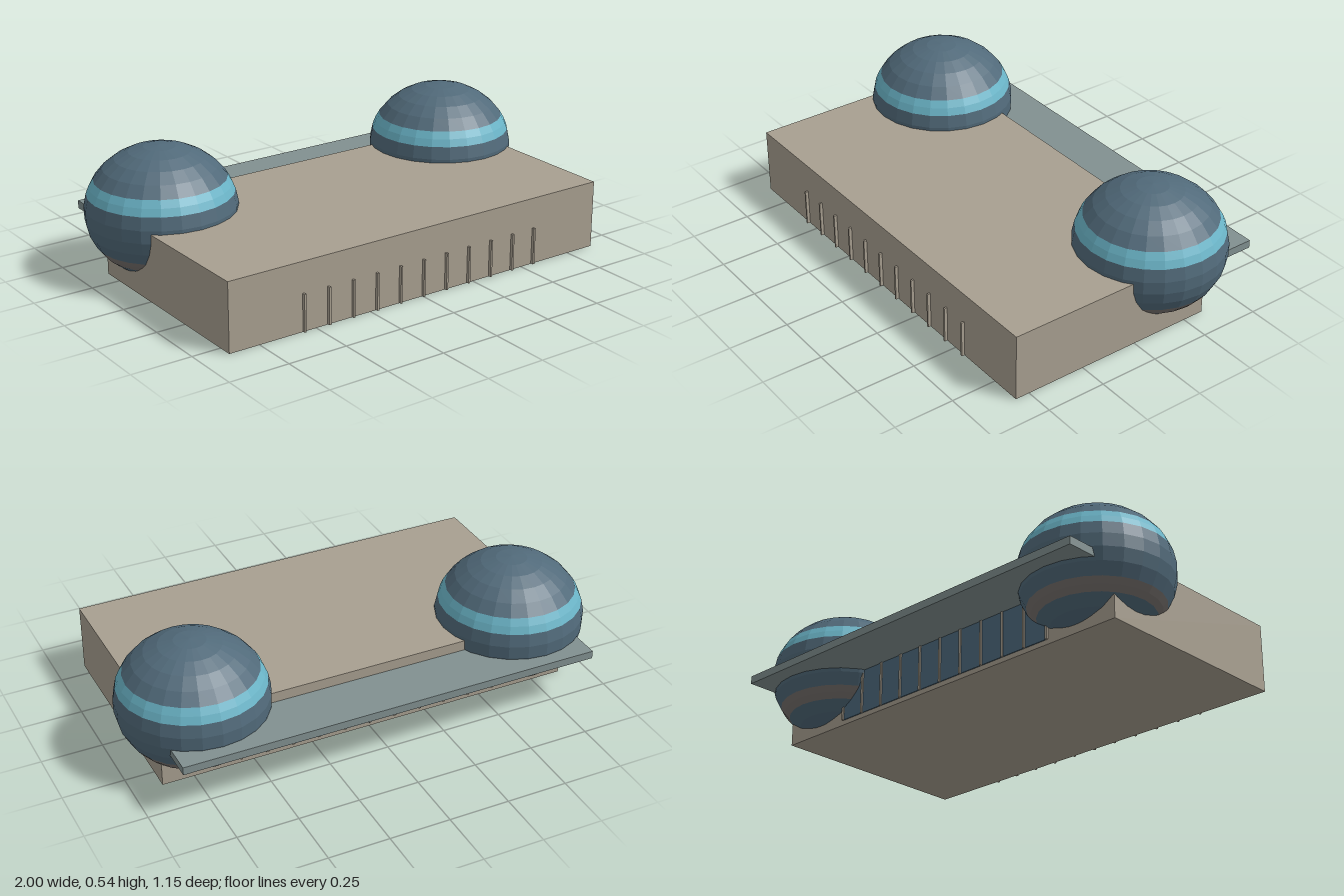
import * as THREE from 'three';

export function createModel() {
  const model = new THREE.Group();
  const paint = (name, color, flatShading = false) => {
    const m = new THREE.MeshStandardMaterial({ color, flatShading });
    m.name = name;
    return m;
  };
  const stone = paint('warm stone', 0xa89f90);
  const slate = paint('slate blue', 0x516a7a, true);
  const cyan = paint('cyan glazing', 0x6bb5c8, true);
  const belt = paint('grey belt', 0x77716e, true);
  const glass = paint('window blue', 0x4d6a7e);
  const canopyGrey = paint('canopy grey', 0x819090);

  // Box given by its minimum and maximum corners
  const box = (name, material, min, max) => {
    const size = max.map((v, i) => v - min[i]);
    const mesh = new THREE.Mesh(new THREE.BoxGeometry(...size), material);
    mesh.position.set(...max.map((v, i) => (v + min[i]) / 2));
    mesh.name = name;
    model.add(mesh);
  };

  // Main hall and rear canopy
  box('hall', stone, [-0.88, 0, -0.34], [0.88, 0.282, 0.56]);
  box('rearCanopy', canopyGrey, [-0.879, 0.206, -0.573], [0.879, 0.239, -0.3]);

  // Front fins, with matching mullions at the back
  const step = 0.1112;
  for (let i = -5; i <= 5; i++) {
    const x = i * step;
    box('frontFin', stone, [x - 0.004, 0.002, 0.55], [x + 0.004, 0.155, 0.573]);
    box('rearMullion', stone, [x - 0.005, 0.02, -0.349], [x + 0.005, 0.206, -0.335]);
  }

  // Rear windows, one pane between each pair of mullions
  for (let i = -5; i < 5; i++) {
    box('rearWindow', glass, [i * step + 0.005, 0.02, -0.344], [(i + 1) * step - 0.005, 0.206, -0.337]);
  }

  // Squashed globes, split into bands of latitude (degrees from the top)
  const bands = [
    ['globeTop', slate, 0, 60, 5],
    ['globeGlazing', cyan, 60, 74, 1],
    ['globeMiddle', slate, 74, 120, 4],
    ['globeBelt', belt, 120, 132, 1],
    ['globeBottom', slate, 132, 180, 4],
  ];
  for (const side of [-1, 1]) {
    const globe = new THREE.Group();
    globe.name = side > 0 ? 'leftGlobe' : 'rightGlobe';
    for (const [name, material, from, to, rows] of bands) {
      const rad = THREE.MathUtils.degToRad;
      const geometry = new THREE.SphereGeometry(1, 24, rows, 0, Math.PI * 2, rad(from), rad(to - from));
      const mesh = new THREE.Mesh(geometry, material);
      mesh.name = name;
      globe.add(mesh);
    }
    globe.scale.set(0.304, 0.264, 0.304);
    globe.position.set(side * 0.696, 0.276, -0.218);
    model.add(globe);
  }
  return model;
}
